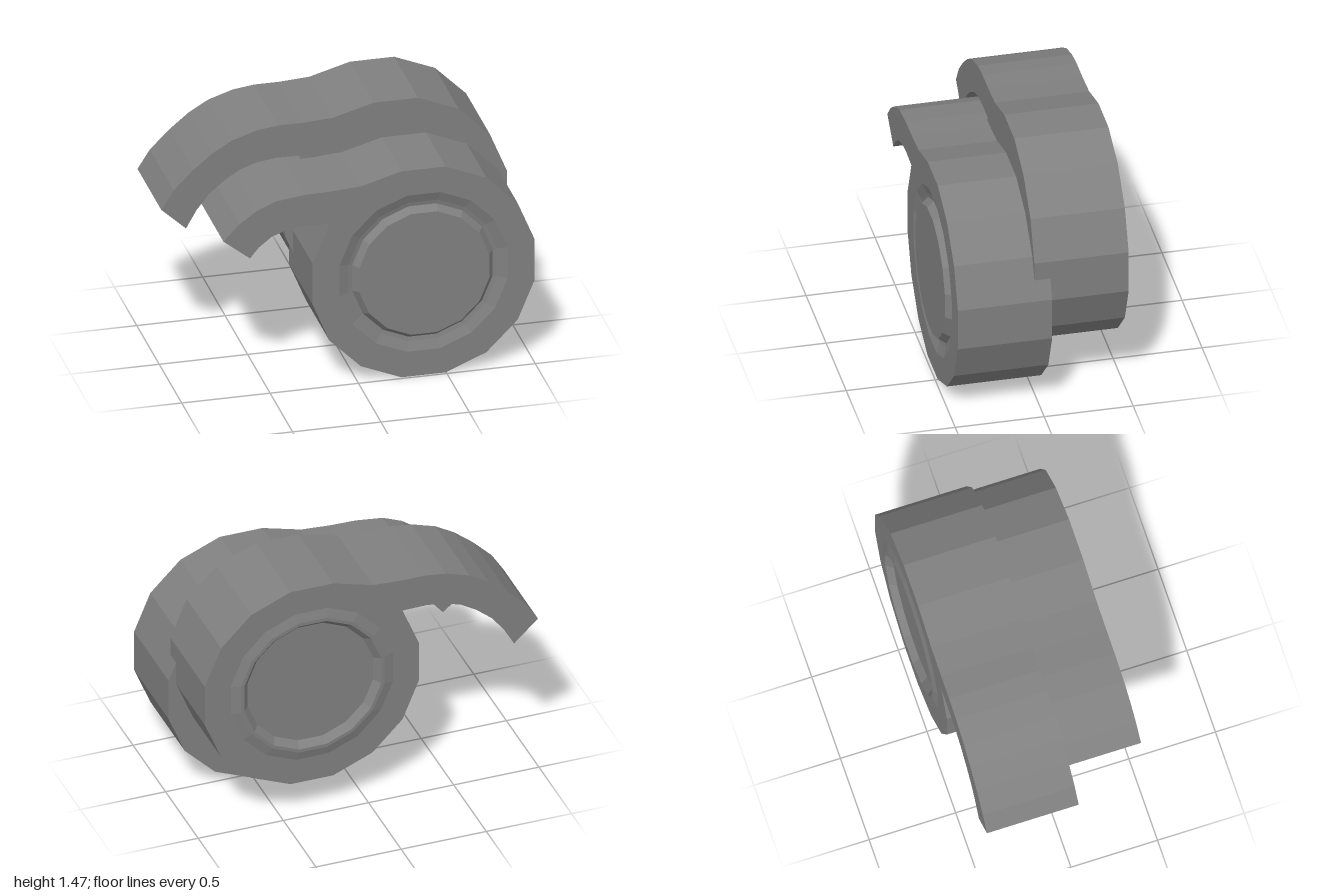
import * as THREE from 'three';

const R = 0.64, RING = 0.485, FACE = 0.485, INNER = -0.045, SIDES = 16;

export function createModel() {
  const group = new THREE.Group();
  const grey = new THREE.MeshStandardMaterial({ color: 0x808080, flatShading: true });
  grey.name = 'grey';

  const corner = (cx, cy, r, k) => {
    const a = (k + 0.5) * Math.PI * 2 / SIDES;
    return new THREE.Vector2(cx + r * Math.cos(a), cy + r * Math.sin(a));
  };

  // One half: a sixteen-sided drum with a curved tail, and a turned hub in its outer face
  function addHalf(name, cx, cy, dir, tail, hub) {
    const outline = [];
    for (let k = 6; k <= 20; k++) outline.push(corner(cx, cy, R, k));
    for (const [x, y] of tail) outline.push(new THREE.Vector2(x, y));
    const shape = new THREE.Shape(outline);
    const hole = [];
    for (let k = SIDES - 1; k >= 0; k--) hole.push(corner(cx, cy, RING, k));
    shape.holes.push(new THREE.Path(hole));

    const bodyGeo = new THREE.ExtrudeGeometry(shape, { depth: FACE - INNER, bevelEnabled: false });
    bodyGeo.translate(0, 0, dir > 0 ? INNER : -FACE);
    const body = new THREE.Mesh(bodyGeo, grey);
    body.name = name + 'Body';

    const profile = [[0, INNER], [RING, INNER], [RING, FACE], ...hub]
      .map(([r, h]) => new THREE.Vector2(r, h));
    const hubGeo = new THREE.LatheGeometry(profile, SIDES, Math.PI / SIDES);
    hubGeo.rotateX(dir * Math.PI / 2);
    hubGeo.translate(cx, cy, 0);
    const hubMesh = new THREE.Mesh(hubGeo, grey);
    hubMesh.name = name + 'Hub';
    group.add(body, hubMesh);
  }

  // Front half: groove around a slightly raised disc
  addHalf('front', 0.372, 0.63, 1, [
    [0.02, 1.195], [-0.15, 1.183], [-0.3, 1.18], [-0.46, 1.16], [-0.57, 1.115],
    [-0.67, 1.045], [-0.76, 0.95], [-0.61, 0.83], [-0.56, 0.89], [-0.49, 0.945],
    [-0.41, 0.977], [-0.3, 0.993],
  ], [[0.43, 0.465], [0.405, 0.46], [0.375, 0.5], [0, 0.5]]);

  // Back half: raised rim around a sunken disc, with a longer tail
  addHalf('back', 0.327, 0.847, -1, [
    [-0.03, 1.41], [-0.2, 1.4], [-0.34, 1.4], [-0.46, 1.385], [-0.6, 1.34],
    [-0.71, 1.275], [-0.82, 1.185], [-0.93, 1.075], [-1, 0.965], [-0.86, 0.835],
    [-0.8, 0.94], [-0.73, 1.03], [-0.64, 1.105], [-0.55, 1.16], [-0.46, 1.19],
    [-0.35, 1.205],
  ], [[0.43, 0.5], [0.41, 0.5], [0.375, 0.46], [0, 0.46]]);

  return group;
}
